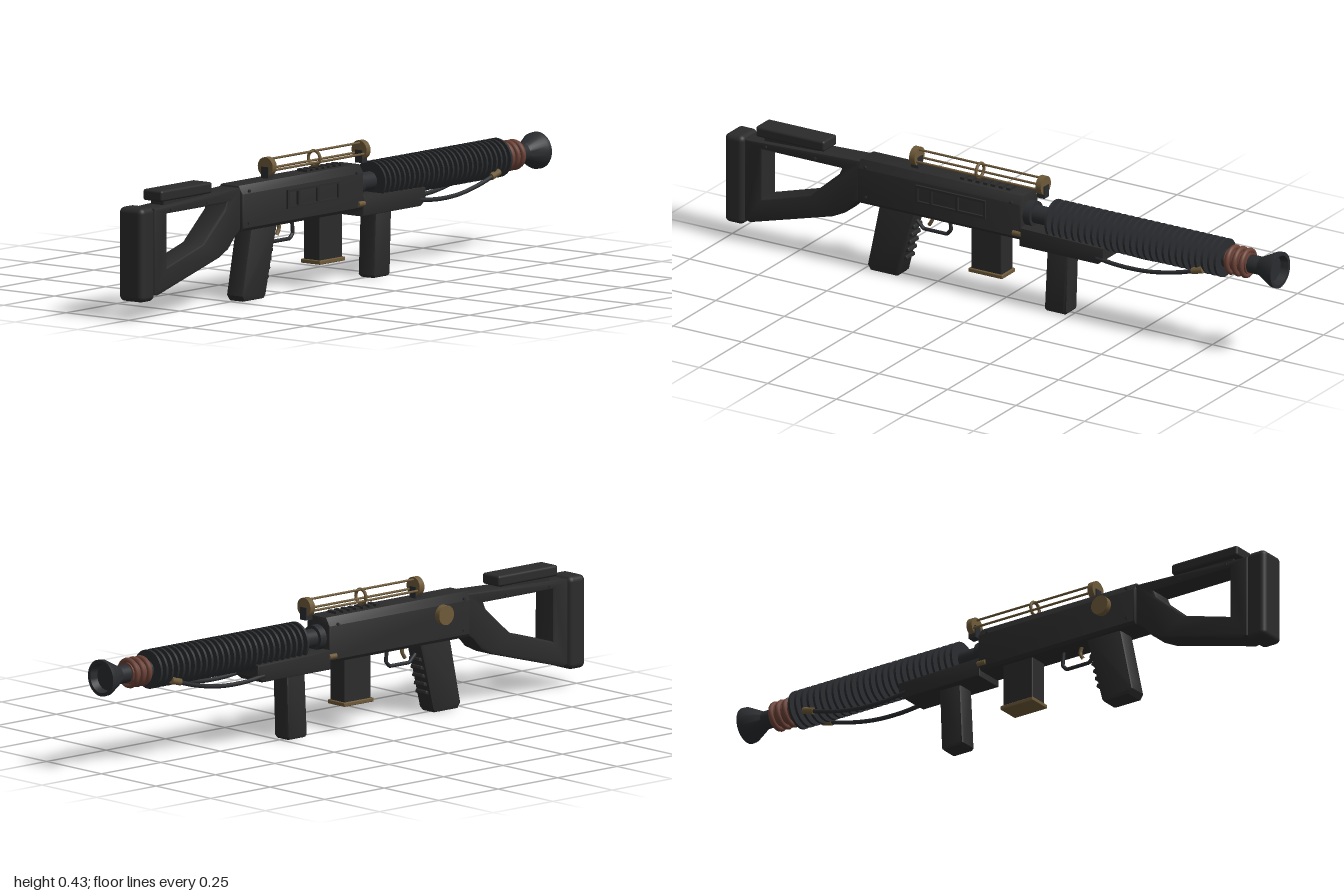
import * as THREE from 'three';
import { RoundedBoxGeometry } from 'three/addons/geometries/RoundedBoxGeometry.js';
import { toCreasedNormals } from 'three/addons/utils/BufferGeometryUtils.js';

const material = (name, color, side = THREE.FrontSide) => {
  const m = new THREE.MeshStandardMaterial({ color, side });
  m.name = name;
  return m;
};

export function createModel() {
  const polymer = material('black polymer', 0x2b2b2b);
  const steel = material('gunmetal', 0x2a2c2f, THREE.DoubleSide);
  const brass = material('aged brass', 0x6e5a39);
  const copper = material('copper', 0x6b4237);

  const root = new THREE.Group();
  root.name = 'rifle';
  const body = new THREE.Group();
  body.name = 'body';
  body.position.x = 0.0035;
  root.add(body);

  const add = (name, geometry, mat, x = 0, y = 0, z = 0) => {
    const mesh = new THREE.Mesh(geometry, mat);
    mesh.name = name;
    mesh.position.set(x, y, z);
    body.add(mesh);
    return mesh;
  };
  const box = (w, h, d, r = 0) => (r ? new RoundedBoxGeometry(w, h, d, 3, r) : new THREE.BoxGeometry(w, h, d));
  // Cylinder along z (the barrel direction) or along x (sideways)
  const rodZ = (r, len, n = 32) => new THREE.CylinderGeometry(r, r, len, n).rotateX(Math.PI / 2);
  const rodX = (r, len, n = 24) => new THREE.CylinderGeometry(r, r, len, n).rotateZ(Math.PI / 2);
  const toShape = (pts) => new THREE.Shape(pts.map(([a, b]) => new THREE.Vector2(a, b)));
  // Bevelled slab, centred along its depth
  const slab = (shape, depth, bevel) => {
    const g = new THREE.ExtrudeGeometry(shape, {
      depth: depth - 2 * bevel, bevelEnabled: bevel > 0, bevelSize: bevel,
      bevelThickness: bevel, bevelOffset: -bevel, bevelSegments: 2, curveSegments: 12,
    });
    g.translate(0, 0, -(depth - 2 * bevel) / 2);
    return toCreasedNormals(g, 0.6);
  };
  // Side profile given as (z, y) points, extruded across x
  const sideSlab = (shape, width, bevel) => slab(shape, width, bevel).rotateY(-Math.PI / 2);

  // Receiver with chamfered top edges
  const section = toShape([[-0.045, 0.225], [0.045, 0.225], [0.052, 0.235], [0.052, 0.342],
    [0.036, 0.368], [-0.036, 0.368], [-0.052, 0.342], [-0.052, 0.235]]);
  add('receiver', slab(section, 0.595, 0.005), polymer, 0, 0, 0.2125);
  for (let i = 0; i < 7; i++) add('railTooth', box(0.04, 0.01, 0.015), polymer, 0, 0.371, 0.148 - i * 0.028);

  // Side panel frame with dividers, on the left side only
  const panel = toShape([[0.04, 0.272], [0.295, 0.272], [0.295, 0.332], [0.04, 0.332]]);
  for (const [a, b] of [[0.048, 0.14], [0.15, 0.235], [0.245, 0.287]]) {
    panel.holes.push(new THREE.Path([[a, 0.28], [a, 0.324], [b, 0.324], [b, 0.28]].map((p) => new THREE.Vector2(...p))));
  }
  add('sidePanelFrame', sideSlab(panel, 0.008, 0), polymer, 0.055);

  // Skeleton stock with a sloping opening
  const stock = toShape([[0.93, 0.345], [0.5, 0.362], [0.5, 0.232], [0.53, 0.212], [0.565, 0.175],
    [0.61, 0.153], [0.91, 0.07], [0.93, 0.075]]);
  stock.holes.push(new THREE.Path([[0.865, 0.322], [0.575, 0.322], [0.585, 0.3], [0.69, 0.208], [0.865, 0.157]]
    .map((p) => new THREE.Vector2(...p))));
  add('stock', sideSlab(stock, 0.084, 0.008), polymer);
  add('buttPad', box(0.096, 0.295, 0.07, 0.018), polymer, 0, 0.2045, 0.965);
  add('cheekRest', box(0.077, 0.035, 0.25, 0.008), polymer, 0, 0.378, 0.765);
  add('cheekRestMount', box(0.05, 0.03, 0.2), polymer, 0, 0.353, 0.765);

  // Pistol grip with finger ribs
  const grip = toShape([[0.44, 0.24], [0.31, 0.24], [0.335, 0.15], [0.37, 0.01], [0.38, 0],
    [0.475, 0], [0.487, 0.018], [0.48, 0.05]]);
  add('pistolGrip', sideSlab(grip, 0.067, 0.009), polymer);
  for (let i = 0; i < 5; i++) {
    const rib = add('gripRib', box(0.05, 0.013, 0.024, 0.004), polymer, 0, 0.172 - i * 0.027, 0.33 + i * 0.0068);
    rib.rotation.x = 0.3;
  }

  // Trigger and guard
  const guard = new THREE.CurvePath();
  const gp = [[0.23, 0.205], [0.182, 0.2], [0.166, 0.215], [0.166, 0.3], [0.19, 0.325]]
    .map(([y, z]) => new THREE.Vector3(0, y, z));
  for (let i = 0; i < gp.length - 1; i++) guard.add(new THREE.LineCurve3(gp[i], gp[i + 1]));
  add('triggerGuard', new THREE.TubeGeometry(guard, 40, 0.006, 8), steel);
  const trigger = new THREE.CatmullRomCurve3([[0.235, 0.275], [0.205, 0.268], [0.183, 0.28]]
    .map(([y, z]) => new THREE.Vector3(0, y, z)));
  add('trigger', new THREE.TubeGeometry(trigger, 12, 0.006, 8), brass);

  // Magazine with base plate
  add('magazine', box(0.066, 0.155, 0.112, 0.004), polymer, 0, 0.162, 0.052);
  add('magazineBase', box(0.078, 0.013, 0.124, 0.003), brass, 0, 0.081, 0.052);

  // Handguard and foregrip
  const guardSide = toShape([[-0.08, 0.268], [-0.08, 0.205], [-0.365, 0.205], [-0.388, 0.222], [-0.388, 0.262]]);
  add('handguard', sideSlab(guardSide, 0.108, 0.006), polymer);
  const foregrip = toShape([[-0.168, 0.212], [-0.158, 0.008], [-0.166, 0], [-0.232, 0], [-0.24, 0.008], [-0.247, 0.212]]);
  add('foregrip', sideSlab(foregrip, 0.067, 0.01), polymer);

  // Barrel with cooling fins
  const axisY = 0.302;
  add('barrel', rodZ(0.029, 0.87), steel, 0, axisY, -0.51);
  add('barrelCollar', rodZ(0.04, 0.03), steel, 0, axisY, -0.095);
  for (let i = 0; i < 27; i++) add('coolingFin', rodZ(0.0615, 0.008), steel, 0, axisY, -0.182 - i * 0.0237);

  // Copper coil
  add('coilSleeve', rodZ(0.034, 0.08), copper, 0, axisY, -0.853);
  for (let i = 0; i < 3; i++) {
    add('coilRing', new THREE.TorusGeometry(0.04, 0.0085, 10, 32), copper, 0, axisY, -0.83 - i * 0.026);
  }

  // Flared muzzle with recessed face
  const flare = new THREE.LatheGeometry([[0.029, 0.93], [0.034, 0.94], [0.057, 0.985], [0.058, 1],
    [0.047, 1], [0.042, 0.975], [0, 0.975]].map((p) => new THREE.Vector2(...p)), 32);
  add('muzzle', toCreasedNormals(flare.rotateX(-Math.PI / 2), 0.6), steel, 0, axisY, 0);

  // Rod assembly on top: end discs, three rods and a middle ring
  const topY = 0.404;
  for (const z of [0.325, -0.135]) {
    add('endDisc', rodZ(0.03, 0.02), brass, 0, topY, z);
    add('endDiscFoot', box(0.028, 0.04, 0.026), steel, 0, 0.384, z);
  }
  for (let i = 0; i < 3; i++) {
    const a = Math.PI / 2 + (i * Math.PI * 2) / 3;
    add('topRod', rodZ(0.0038, 0.46, 8), brass, 0.022 * Math.cos(a), topY + 0.022 * Math.sin(a), 0.095);
  }
  add('middleRing', new THREE.TorusGeometry(0.023, 0.005, 8, 28), brass, 0, topY, 0.095);

  // Round dial on the right side
  add('dial', rodX(0.031, 0.02, 32), brass, -0.0615, 0.313, 0.39);

  // Mirrored hoses, fittings and screws
  for (const s of [-1, 1]) {
    const hose = new THREE.CatmullRomCurve3([[0.225, -0.36], [0.217, -0.45], [0.22, -0.55], [0.238, -0.65], [0.266, -0.745]]
      .map(([y, z]) => new THREE.Vector3(s * 0.05, y, z)));
    add('hose', new THREE.TubeGeometry(hose, 32, 0.007, 8), steel);
    const fitting = add('hoseFitting', rodZ(0.011, 0.04, 12), brass, s * 0.05, 0.262, -0.73);
    fitting.rotation.x = 0.28;
    add('rearFitting', rodZ(0.009, 0.03, 12), brass, s * 0.05, 0.246, -0.072);
    for (const [x, y, z] of [[0.055, 0.35, 0.48], [0.053, 0.25, 0.48], [0.053, 0.345, -0.05], [0.043, 0.335, 0.67], [0.043, 0.335, 0.85]]) {
      add('screw', rodX(0.005, 0.006, 10), steel, s * x, y, z);
    }
  }
  return root;
}
